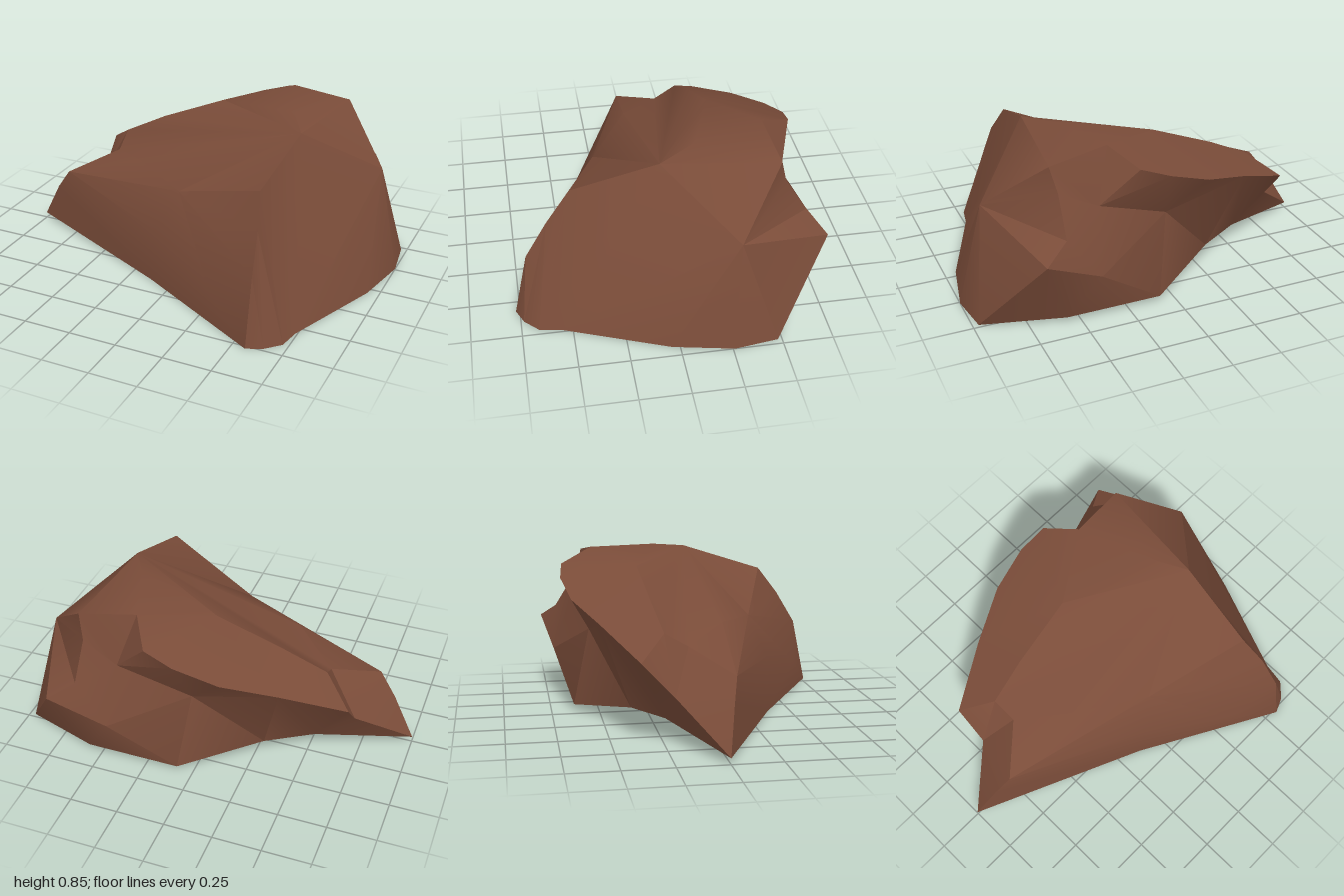
import * as THREE from 'three';
import { toCreasedNormals } from 'three/addons/utils/BufferGeometryUtils.js';

// Feature lines of the boulder, as short chains of points
const baseFront = [[-1, 0.03, 0], [-0.13, 0, 0.38], [0.57, 0, 0.77]];
const baseLeft = [[0.57, 0, 0.77], [0.65, 0, 0.735], [0.72, 0, 0.665], [0.74, 0, 0.55], [0.94, 0, 0.04], [1, 0, -0.26], [0.97, 0, -0.48]];
const baseBack = [[0.97, 0, -0.48], [0.57, 0.03, -0.63], [0.08, 0.03, -0.63], [-0.3, 0.1, -0.37], [-0.53, 0.1, -0.23], [-1, 0.03, 0]];
const frontCrease = [[-1, 0.03, 0], [-0.88, 0.24, 0.04], [-0.79, 0.36, 0.07], [-0.1, 0.29, 0.38], [0.33, 0.16, 0.64], [0.57, 0, 0.77]];
const ridge = [[0.57, 0, 0.77], [0.57, 0.35, 0.7], [0.55, 0.53, 0.59], [0.51, 0.68, 0.47], [0.55, 0.815, 0.04]];
const crest = [[-0.79, 0.36, 0.07], [-0.57, 0.46, -0.12], [-0.58, 0.53, -0.24], [-0.36, 0.64, -0.27], [-0.02, 0.78, -0.3], [0.44, 0.84, -0.15]];
const rearCrease = [[-0.73, 0.42, -0.37], [-0.42, 0.55, -0.53], [-0.16, 0.635, -0.65], [0.06, 0.715, -0.69], [0.21, 0.77, -0.675]];

// Single corners
const slopeMiddle = [0, 0.5, 0.3];
const slopeEnd = [-0.34, 0.53, 0.09];
const peak = [0.31, 0.845, -0.51];
const shoulder = [0.61, 0.8, -0.54];
const hip = [0.88, 0.545, -0.3];
const hollow = [0.39, 0.585, -0.605];
const hollowEdge = [[0.585, 0.485, -0.69], [0.58, 0.67, -0.575]];
const bulge = [0.71, 0.41, -0.77];
const belly = [0.42, 0.27, -0.715];
const recess = [0.02, 0.45, -0.55];
const notch = [-0.73, 0.25, -0.21];

const core = new THREE.Vector3(0.25, 0.25, -0.05);

// Adds one triangle, turned to face away from the core
function addTriangle(out, a, b, c) {
  const [p, q, r] = [a, b, c].map((v) => new THREE.Vector3(...v));
  const normal = q.clone().sub(p).cross(r.clone().sub(p));
  if (normal.length() < 1e-6) return;
  const middle = p.clone().add(q).add(r).divideScalar(3).sub(core);
  out.push(...a, ...(normal.dot(middle) < 0 ? [...c, ...b] : [...b, ...c]));
}

function fan(out, apex, chain) {
  for (let i = 0; i + 1 < chain.length; i++) addTriangle(out, apex, chain[i], chain[i + 1]);
}

// Share of the chain's length reached at each point
function progress(chain) {
  const sums = [0];
  for (let i = 1; i < chain.length; i++) {
    const step = Math.hypot(...chain[i].map((v, k) => v - chain[i - 1][k]));
    sums.push(sums[i - 1] + step);
  }
  return sums.map((s) => s / sums[sums.length - 1]);
}

// Fills the strip between two chains running the same way
function bridge(out, a, b) {
  const ta = progress(a), tb = progress(b);
  let i = 0, j = 0;
  while (i < a.length - 1 || j < b.length - 1) {
    const stepA = j === b.length - 1 || (i < a.length - 1 && ta[i + 1] <= tb[j + 1]);
    if (stepA) {
      addTriangle(out, a[i], a[i + 1], b[j]);
      i++;
    } else {
      addTriangle(out, a[i], b[j], b[j + 1]);
      j++;
    }
  }
}

export function createModel() {
  const out = [];

  // Undercut along the front
  fan(out, baseFront[1], frontCrease);

  // Broad slope above it: steep lower part, then the gentler upper part
  fan(out, slopeMiddle, [...frontCrease.slice(2, 5), ...ridge.slice(1), slopeEnd, crest[0]]);
  addTriangle(out, frontCrease[4], frontCrease[5], ridge[1]);
  addTriangle(out, slopeEnd, crest[0], crest[1]);
  fan(out, ridge[4], [slopeEnd, ...crest.slice(1)]);

  // Left wall and its rear corner
  bridge(out, ridge, baseLeft.slice(0, 4));
  fan(out, hip, [ridge[4], ...baseLeft.slice(3), bulge, ...hollowEdge, shoulder, ridge[4]]);

  // Cap and the hollow behind it
  fan(out, shoulder, [peak, crest[5], ridge[4]]);
  fan(out, hollow, [...hollowEdge, shoulder, peak, rearCrease[4], rearCrease[3]]);

  // Sloping strip behind the crest
  fan(out, crest[4], [crest[5], peak, rearCrease[4], rearCrease[3], rearCrease[2]]);
  bridge(out, crest.slice(2, 5), rearCrease.slice(0, 3));

  // Back wall: bulging belly, overhung recess and the narrow end
  fan(out, belly, [hollow, hollowEdge[0], bulge, baseBack[1], baseBack[2]]);
  addTriangle(out, bulge, baseBack[0], baseBack[1]);
  fan(out, recess, [belly, hollow, rearCrease[3], rearCrease[2], rearCrease[1], baseBack[3], baseBack[2], belly]);
  bridge(out, [notch, rearCrease[0], rearCrease[1]], [baseBack[4], baseBack[3]]);

  // Notch at the narrow end
  fan(out, notch, [rearCrease[0], crest[2], crest[1], crest[0], frontCrease[1], frontCrease[0], baseBack[4]]);

  // Underside
  fan(out, [0.2, 0, 0], [...baseFront, ...baseLeft.slice(1), ...baseBack.slice(1)]);

  const geometry = new THREE.BufferGeometry();
  geometry.setAttribute('position', new THREE.Float32BufferAttribute(out, 3));

  const material = new THREE.MeshStandardMaterial({ color: 0x7a4c39 });
  material.name = 'brownStone';
  const boulder = new THREE.Mesh(toCreasedNormals(geometry, 0.6), material);
  boulder.name = 'boulder';

  const group = new THREE.Group();
  group.name = 'rock';
  group.add(boulder);
  return group;
}
